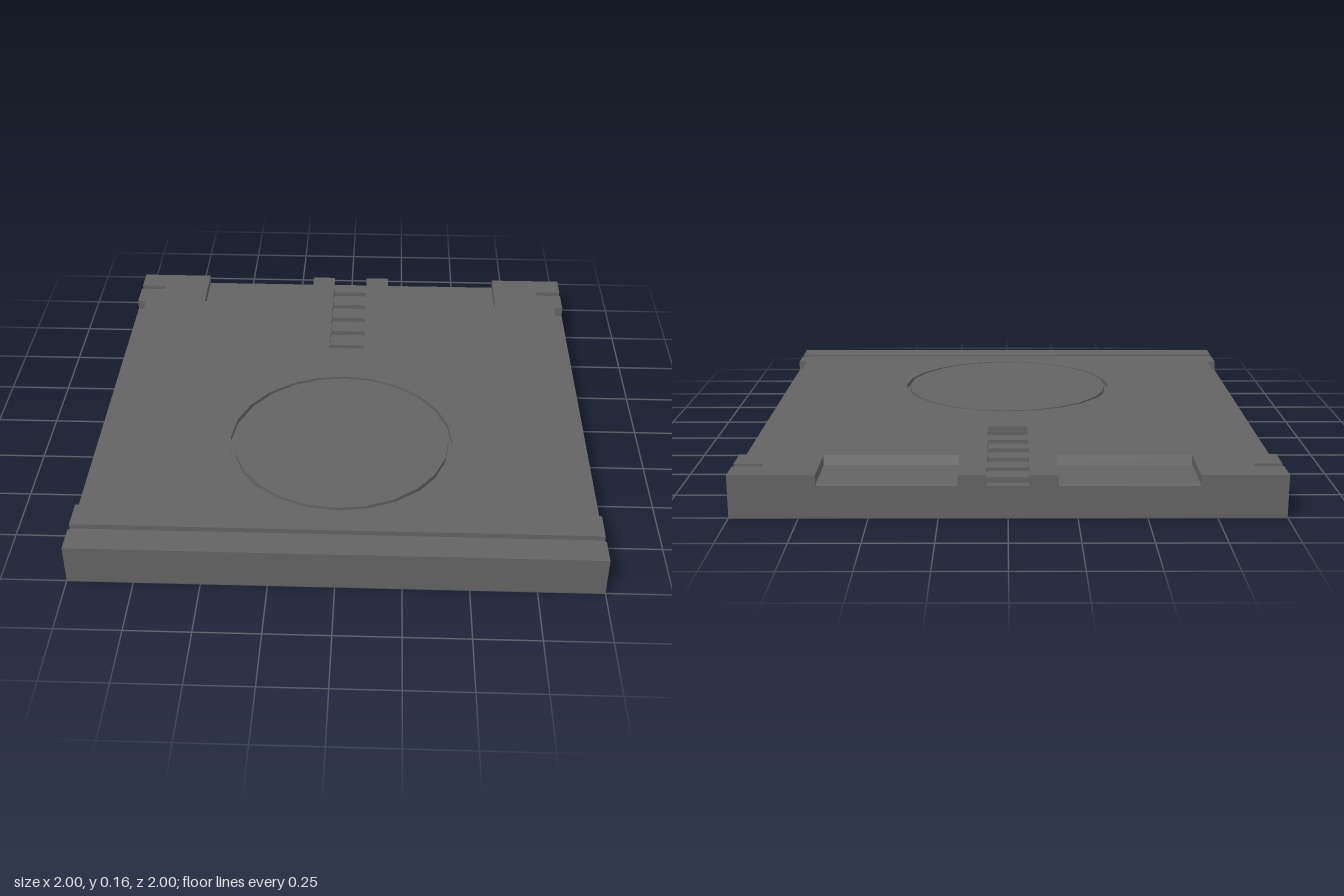
import * as THREE from 'three';

const TOP = 0.16;
const material = new THREE.MeshStandardMaterial({ color: 0x636363, flatShading: true, side: THREE.DoubleSide });

export function createModel() {
  const model = new THREE.Group();

  const add = (name, geometry, parent = model) => {
    const mesh = new THREE.Mesh(geometry, material);
    mesh.name = name;
    parent.add(mesh);
    return mesh;
  };
  const shapeOf = (pts) => new THREE.Shape(pts.map(([a, b]) => new THREE.Vector2(a, b)));

  // Horizontal sheet at the top level from (x, z) points
  const sheet = (name, pts, holes = []) => {
    const flip = (list) => list.map(([x, z]) => [x, -z]);
    const shape = shapeOf(flip(pts));
    shape.holes = holes.map((h) => shapeOf(flip(h)));
    add(name, new THREE.ShapeGeometry(shape).rotateX(-Math.PI / 2).translate(0, TOP, 0));
  };

  // Upright sheet at a given x from (z, y) points
  const sideSheet = (name, x, pts, parent) => {
    const geometry = new THREE.ShapeGeometry(shapeOf(pts.map(([z, y]) => [-z, y])));
    add(name, geometry.rotateY(Math.PI / 2).translate(x, 0, 0), parent);
  };

  // Recess: a (z, y) profile swept from x0 to x1, with end walls where listed
  const recess = (name, x0, x1, profile, ends = [x0, x1]) => {
    const group = new THREE.Group();
    group.name = name;
    model.add(group);
    const pos = [];
    for (let i = 0; i + 1 < profile.length; i++) {
      const [za, ya] = profile[i], [zb, yb] = profile[i + 1];
      pos.push(x0, ya, za, x0, yb, zb, x1, yb, zb, x0, ya, za, x1, yb, zb, x1, ya, za);
    }
    // Keep the floor facing up whichever way the sweep runs
    if (x1 < x0) {
      for (let i = 0; i < pos.length; i += 9) {
        for (let k = 0; k < 3; k++) [pos[i + 3 + k], pos[i + 6 + k]] = [pos[i + 6 + k], pos[i + 3 + k]];
      }
    }
    const floor = new THREE.BufferGeometry();
    floor.setAttribute('position', new THREE.Float32BufferAttribute(pos, 3));
    floor.computeVertexNormals();
    add(name + 'Floor', floor, group);
    const last = profile[profile.length - 1];
    const outline = [[profile[0][0], TOP], ...profile, [last[0], TOP]];
    for (const x of ends) sideSheet(name + 'EndWall', x, outline, group);
  };
  const trough = (z0, z1, y) => [[z0, TOP], [z0, y], [z1, y], [z1, TOP]];

  // Top plate, with the circular opening and edge cutouts
  const circle = [];
  for (let i = 0; i < 24; i++) {
    const a = (i / 24) * Math.PI * 2;
    circle.push([0.45 * Math.sin(a), 0.3 + 0.45 * Math.cos(a)]);
  }
  const sideEdge = [[1, 0.865], [1, 0.75], [0.963, 0.75], [0.963, -0.75], [1, -0.75], [1, -0.865],
    [0.89, -0.865], [0.89, -0.895], [1, -0.895], [1, -1],
    [0.685, -1], [0.685, -0.76], [0.18, -0.76], [0.18, -1], [0.077, -1], [0.077, -0.375]];
  const mirrored = sideEdge.map(([x, z]) => [-x, z]).reverse();
  sheet('topPlate', [...sideEdge, ...mirrored], [circle]);
  sheet('frontTopStrip', [[-1, 0.895], [1, 0.895], [1, 1], [-1, 1]]);

  // Round well and the slightly smaller disc standing in it
  const turned = (name, pts) => {
    const geometry = new THREE.LatheGeometry(pts.map(([r, y]) => new THREE.Vector2(r, y)), 24);
    add(name, geometry.translate(0, 0, 0.3));
  };
  turned('roundWell', [[0.45, TOP], [0.45, 0.14], [0, 0.14]]);
  turned('roundDisc', [[0.435, 0.14], [0.435, TOP], [0, TOP]]);

  // Ladder slot with flat rungs on its floor
  recess('ladderSlot', -0.077, 0.077, [[-1, 0.12], [-0.375, 0.12], [-0.375, TOP]]);
  for (let i = 0; i < 5; i++) {
    add('rung', new THREE.BoxGeometry(0.154, 0.02, 0.07)).position.set(0, 0.131, -0.93 + 0.116 * i);
  }

  // Grooves, pockets and slots cut into the top
  recess('frontGroove', -1, 1, trough(0.865, 0.895, 0.14), []);
  for (const s of [1, -1]) {
    const side = s > 0 ? 'left' : 'right';
    recess(side + 'BackPocket', s * 0.18, s * 0.685,
      [[-1, 0.12], [-0.985, 0.125], [-0.77, 0.125], [-0.76, TOP]]);
    recess(side + 'EdgeRebate', s * 0.963, s, trough(-0.75, 0.75, 0.12), [s * 0.963]);
    recess(side + 'LatchSlot', s * 0.89, s, trough(-0.895, -0.865, 0.14), [s * 0.89]);

    // Side wall, notched where the cuts run out
    sideSheet(side + 'Wall', s, [[-1, 0], [-1, TOP],
      ...trough(-0.895, -0.865, 0.14), ...trough(-0.75, 0.75, 0.12), ...trough(0.865, 0.895, 0.14),
      [1, TOP], [1, 0]]);
  }

  // Front and back walls; the underside stays open
  add('frontWall', new THREE.PlaneGeometry(2, TOP).translate(0, TOP / 2, 1));
  const back = shapeOf([[-1, 0], [-1, TOP], ...trough(-0.685, -0.18, 0.12),
    ...trough(-0.077, 0.077, 0.12), ...trough(0.18, 0.685, 0.12), [1, TOP], [1, 0]]);
  add('backWall', new THREE.ShapeGeometry(back).rotateY(Math.PI).translate(0, 0, -1));

  return model;
}
